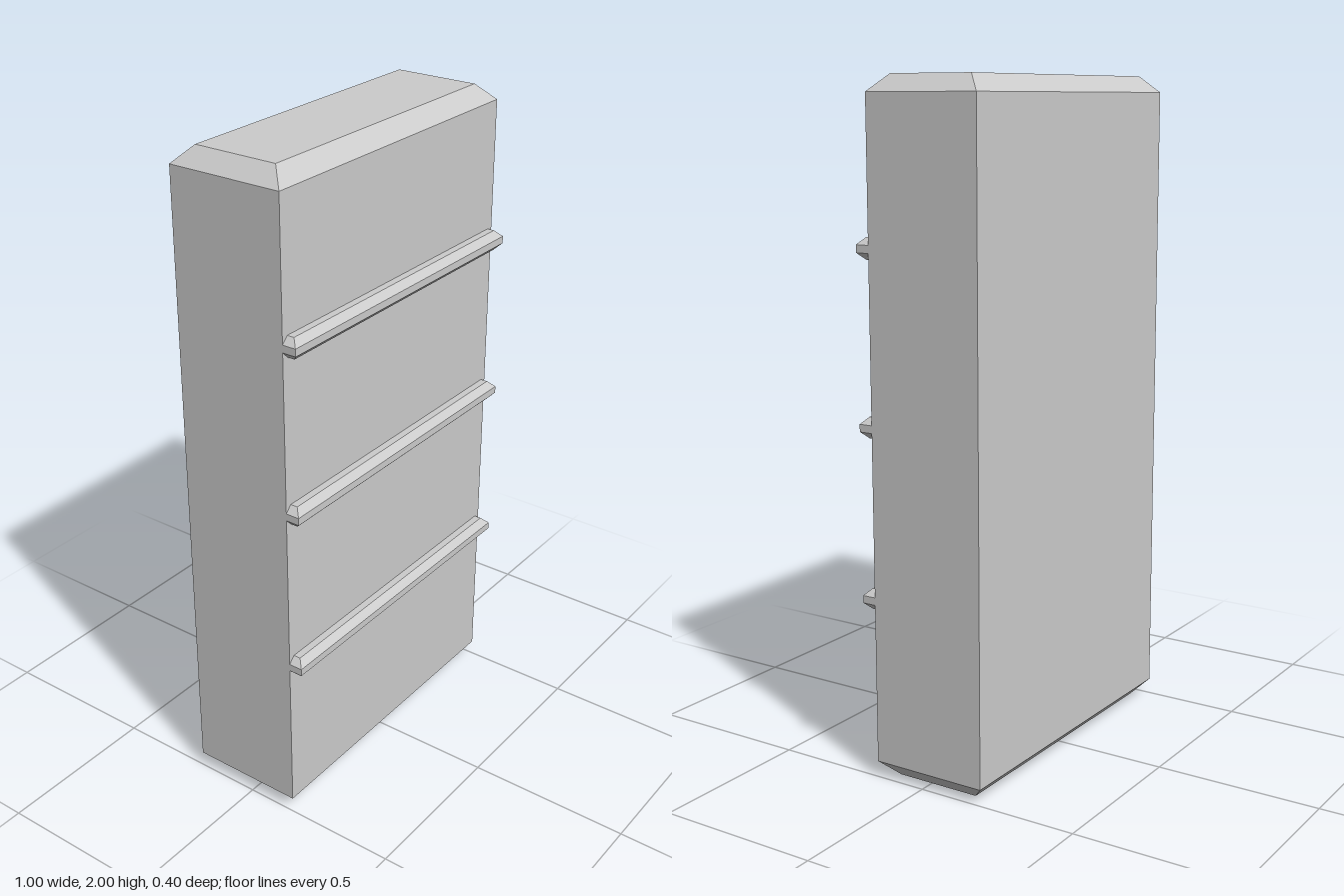
import * as THREE from 'three';

const material = new THREE.MeshStandardMaterial({ color: 0xcccccc, flatShading: true });

// Block whose top and bottom rims are chamfered; backBevel = 0 keeps the back flat.
function chamferedBlock(name, width, height, depth, bevel, backBevel = bevel) {
  const indexed = new THREE.BoxGeometry(width, height, depth, 1, 3, 1);
  const p = indexed.attributes.position;
  for (let i = 0; i < p.count; i++) {
    const x = p.getX(i), y = p.getY(i), z = p.getZ(i);
    if (Math.abs(y) > height * 0.4) {
      // end rings shrink inwards
      p.setX(i, x - Math.sign(x) * bevel);
      p.setZ(i, z > 0 ? z - bevel : z + backBevel);
    } else {
      // middle rings slide out to where the chamfers start
      p.setY(i, Math.sign(y) * (height / 2 - bevel));
    }
  }
  const geometry = indexed.toNonIndexed();
  geometry.computeVertexNormals();
  const mesh = new THREE.Mesh(geometry, material);
  mesh.name = name;
  return mesh;
}

export function createModel() {
  const model = new THREE.Group();
  model.name = 'slab';

  // Main upright body
  const body = chamferedBlock('body', 1, 2, 0.358, 0.048);
  body.position.set(0, 1, -0.021);
  model.add(body);

  // Three horizontal rails across the front face
  ['lowerRail', 'middleRail', 'upperRail'].forEach((name, i) => {
    const rail = chamferedBlock(name, 1, 0.062, 0.042, 0.02, 0);
    rail.position.set(0, 0.533 + i * 0.5, 0.179);
    model.add(rail);
  });

  return model;
}
